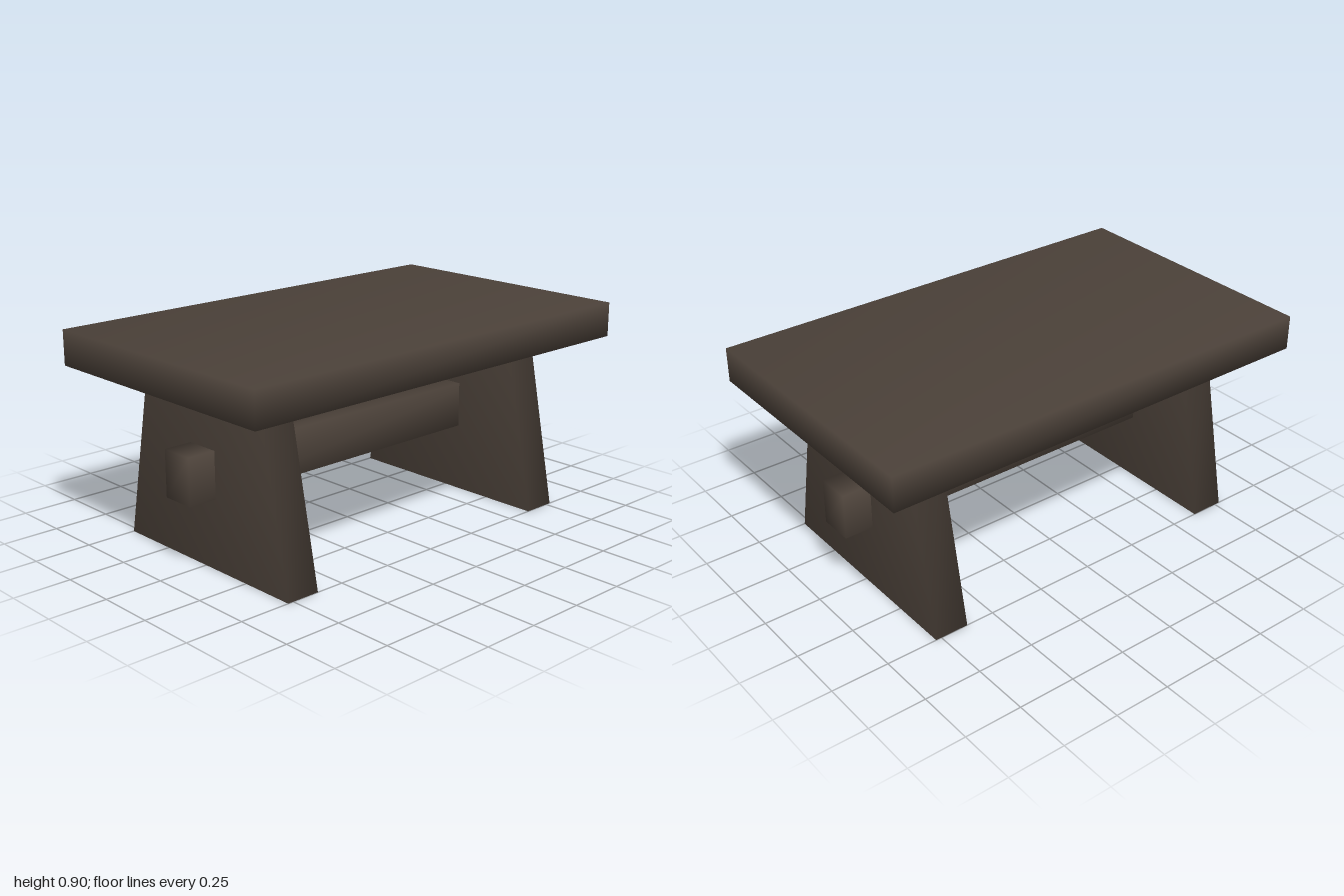
import * as THREE from 'three';
import { mergeVertices } from 'three/addons/utils/BufferGeometryUtils.js';

const wood = new THREE.MeshStandardMaterial({ color: 0x4a4038 });
wood.name = 'dark wood';

// Plank with corners shared between faces (soft normals); taper scales the depth at the top
function plank(name, [w, h, d], [x, y, z], taper = 1) {
  const box = new THREE.BoxGeometry(w, h, d);
  box.deleteAttribute('normal');
  box.deleteAttribute('uv');
  const geometry = mergeVertices(box);
  geometry.clearGroups();
  const p = geometry.attributes.position;
  for (let i = 0; i < p.count; i++) {
    if (p.getY(i) > 0) p.setZ(i, p.getZ(i) * taper);
  }
  geometry.computeVertexNormals();
  const mesh = new THREE.Mesh(geometry, wood);
  mesh.name = name;
  mesh.position.set(x, y, z);
  return mesh;
}

export function createModel() {
  const table = new THREE.Group();
  table.name = 'trestleTable';

  // Table top
  table.add(plank('tableTop', [2, 0.15, 1.2], [0, 0.825, 0]));

  // Tapered slab legs, one at each end
  for (const side of [-1, 1]) {
    table.add(plank(side > 0 ? 'leftLeg' : 'rightLeg', [0.15, 0.75, 1], [side * 0.7, 0.375, 0], 0.7));
  }

  // Stretcher passing through both legs
  table.add(plank('stretcher', [1.8, 0.2, 0.15], [0, 0.4, 0]));

  return table;
}
